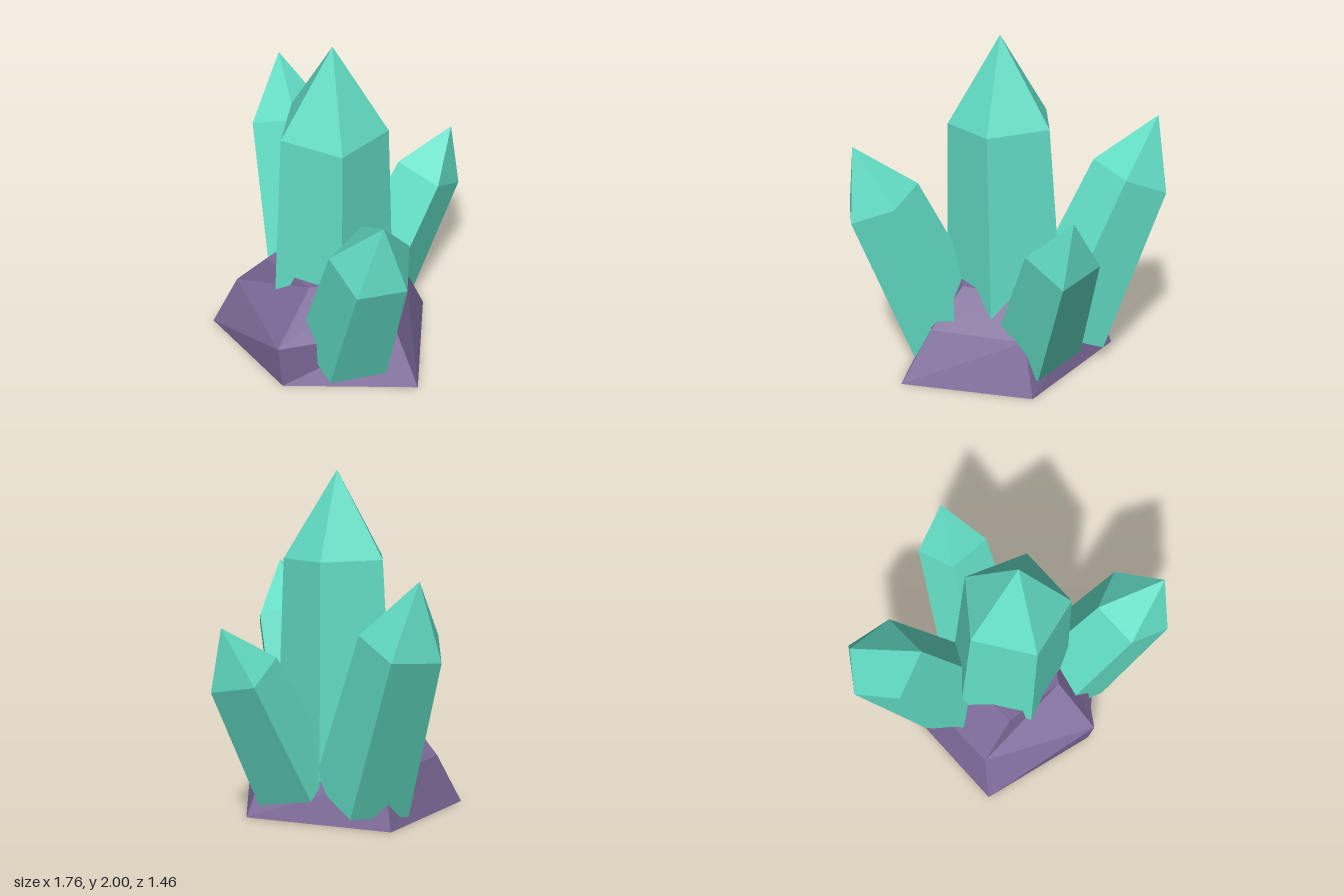
import * as THREE from 'three';
import { mergeGeometries } from 'three/addons/utils/BufferGeometryUtils.js';

const crystalMat = new THREE.MeshStandardMaterial({ color: 0x62dcc4, flatShading: true });
crystalMat.name = 'teal crystal';
const rockMat = new THREE.MeshStandardMaterial({ color: 0x7c6a99, flatShading: true });
rockMat.name = 'purple rock';

// Tapered prism with a pointed cap, leaning from base to tip; corner points one edge outward
function crystal(name, { base, tip, radius, sides, shoulder, corner }) {
  const b = new THREE.Vector3(...base);
  const axis = new THREE.Vector3(...tip).sub(b);
  const length = axis.length();
  const shaftLength = length * shoulder;
  const capLength = length - shaftLength;

  const shaft = new THREE.CylinderGeometry(radius, radius * 1.22, shaftLength, sides);
  shaft.translate(0, shaftLength / 2, 0);
  const cap = new THREE.ConeGeometry(radius, capLength, sides, 1, true);
  cap.translate(0, shaftLength + capLength / 2, 0);
  const geometry = mergeGeometries([shaft, cap]).toNonIndexed();

  const y = axis.normalize();
  const z = new THREE.Vector3(...corner).projectOnPlane(y).normalize();
  const x = new THREE.Vector3().crossVectors(y, z);
  geometry.applyMatrix4(new THREE.Matrix4().makeBasis(x, y, z).setPosition(b));
  geometry.computeVertexNormals();

  const mesh = new THREE.Mesh(geometry, crystalMat);
  mesh.name = name;
  return mesh;
}

// Five-sided rock lofted through three rings, closed at bottom and top
function rock() {
  const rings = [
    [[-0.575, 0, 0.54], [0.155, 0, 0.695], [0.765, 0, 0.185], [0.30, 0, -0.455], [-0.55, 0, -0.225]],
    [[-0.48, 0.3, 0.41], [0.155, 0.3, 0.725], [0.565, 0.3, 0.15], [0.25, 0.3, -0.33], [-0.47, 0.3, -0.17]],
    [[-0.25, 0.56, 0.385], [0.13, 0.56, 0.42], [0.36, 0.54, 0.1], [0.17, 0.52, -0.18], [-0.25, 0.56, -0.05]],
  ];
  const n = 5;
  const positions = [];
  const tri = (a, b, c) => positions.push(...a, ...b, ...c);
  for (let r = 0; r < 2; r++) {
    for (let i = 0; i < n; i++) {
      const j = (i + 1) % n;
      const [lo, hi] = [rings[r], rings[r + 1]];
      tri(lo[i], lo[j], hi[j]);
      tri(lo[i], hi[j], hi[i]);
    }
  }
  for (let i = 1; i < n - 1; i++) {
    tri(rings[0][0], rings[0][i + 1], rings[0][i]);
    tri(rings[2][0], rings[2][i], rings[2][i + 1]);
  }
  const geometry = new THREE.BufferGeometry();
  geometry.setAttribute('position', new THREE.Float32BufferAttribute(positions, 3));
  geometry.computeVertexNormals();
  const mesh = new THREE.Mesh(geometry, rockMat);
  mesh.name = 'rockBase';
  return mesh;
}

export function createModel() {
  const group = new THREE.Group();
  group.name = 'crystalCluster';
  group.add(
    rock(),
    crystal('mainCrystal', {
      base: [0, 0.1, 0.09], tip: [0.05, 2, 0.12],
      radius: 0.32, sides: 5, shoulder: 0.73, corner: [-0.32, 0, -0.015],
    }),
    crystal('rightCrystal', {
      base: [-0.28, 0.16, -0.07], tip: [-0.785, 1.46, -0.335],
      radius: 0.25, sides: 5, shoulder: 0.725, corner: [-0.23, -0.095, 0.01],
    }),
    crystal('leftCrystal', {
      base: [0.32, 0.17, 0.295], tip: [0.785, 1.38, 0.56],
      radius: 0.24, sides: 5, shoulder: 0.72, corner: [0.22, -0.08, -0.02],
    }),
    crystal('backCrystal', {
      base: [0.08, 0.19, -0.25], tip: [0.25, 1.165, -0.73],
      radius: 0.21, sides: 4, shoulder: 0.71, corner: [0.125, -0.09, -0.144],
    }),
  );
  return group;
}
